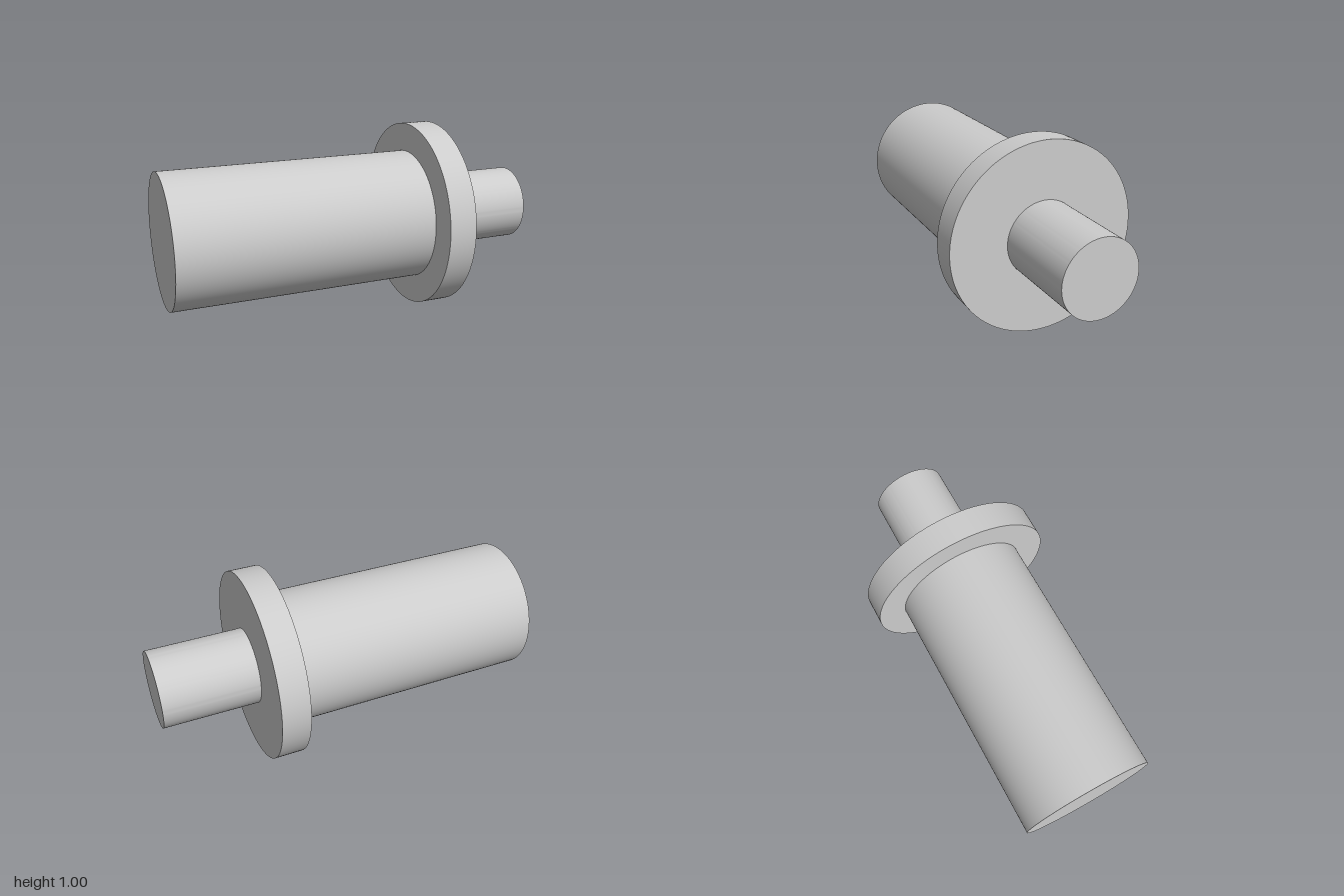
import * as THREE from 'three';
import { toCreasedNormals } from 'three/addons/utils/BufferGeometryUtils.js';

const AXIS_HEIGHT = 0.5;

export function createModel() {
  const group = new THREE.Group();
  group.name = 'flangedShaft';
  const steel = new THREE.MeshStandardMaterial({ color: 0xcccccc });
  steel.name = 'light grey steel';

  // Turns a [radius, x] profile around the horizontal shaft axis
  function turnedPart(name, profile) {
    const points = profile.map(([r, x]) => new THREE.Vector2(r, x));
    const geometry = toCreasedNormals(new THREE.LatheGeometry(points, 128), 0.5);
    geometry.rotateZ(-Math.PI / 2);
    const mesh = new THREE.Mesh(geometry, steel);
    mesh.name = name;
    mesh.position.y = AXIS_HEIGHT;
    group.add(mesh);
  }

  // Thick body with its closed end at -x
  turnedPart('body', [[0, -1], [0.35, -1], [0.35, 0.35]]);
  // Collar, open where the body and the spigot join it
  turnedPart('flange', [[0.35, 0.35], [0.5, 0.35], [0.5, 0.5], [0.2, 0.5]]);
  // Thin spigot with its closed end at +x
  turnedPart('spigot', [[0.2, 0.5], [0.2, 1], [0, 1]]);

  return group;
}
